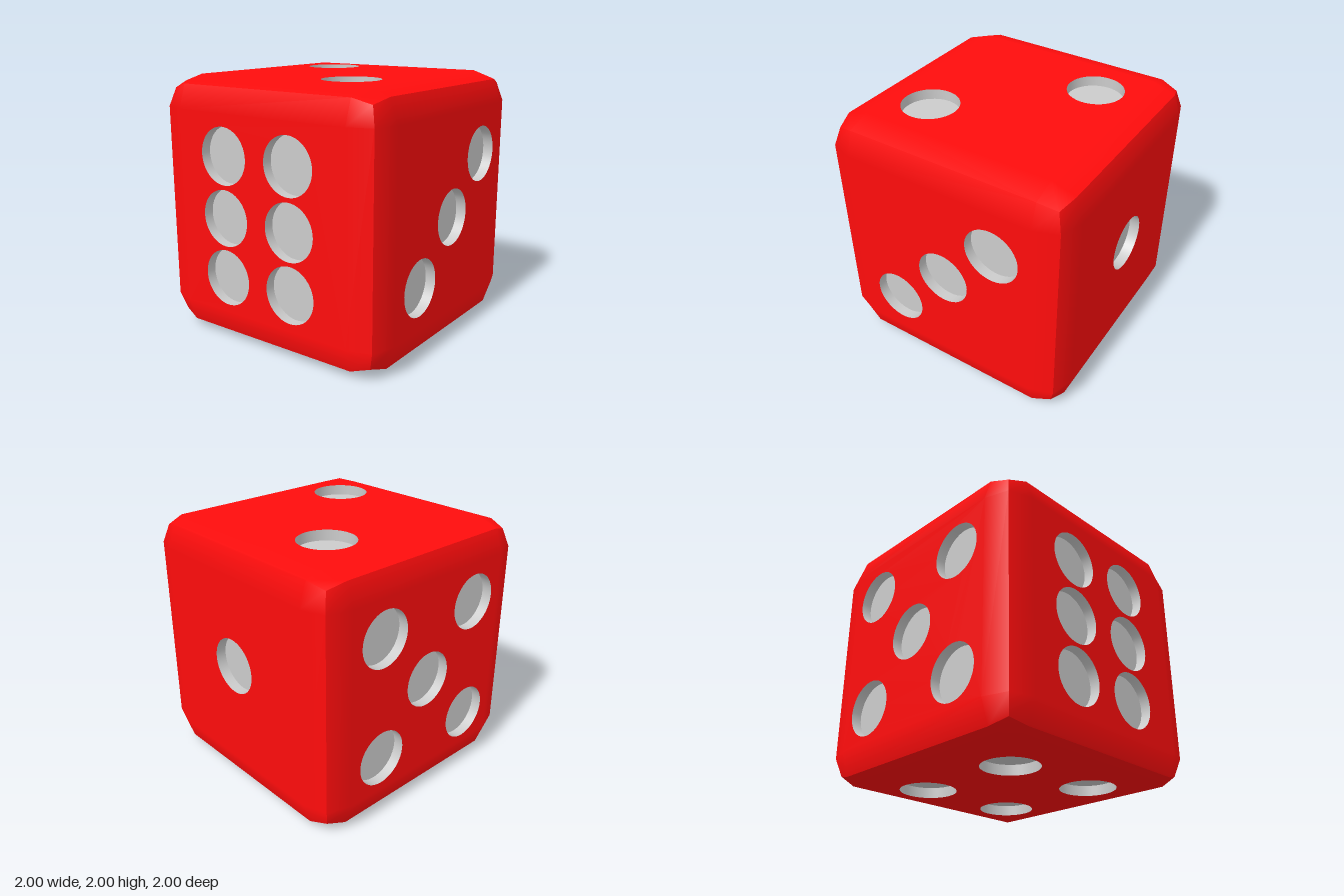
import * as THREE from 'three';
import { mergeGeometries } from 'three/addons/utils/BufferGeometryUtils.js';

const FLAT = 0.76;     // half width of the flat part of a face
const EDGE = 0.94;     // where two neighbouring faces meet
const CORNER = 0.9;    // where three faces meet
const PIP_R = 0.216;
const PIP_DEPTH = 0.08;
const SEGMENTS = 48;

// Each face: its right and up axes, and pip centres measured along them
const faces = [
  { name: 'front', u: [1, 0, 0], v: [0, 1, 0],
    pips: [-0.326, 0.277].flatMap(x => [0.447, -0.018, -0.48].map(y => [x, y])) },
  { name: 'back', u: [-1, 0, 0], v: [0, 1, 0], pips: [[0, 0.055]] },
  { name: 'right', u: [0, 0, -1], v: [0, 1, 0],
    pips: [[-0.425, -0.437], [0.02, -0.018], [0.45, 0.394]] },
  { name: 'left', u: [0, 0, 1], v: [0, 1, 0],
    pips: [[-0.46, 0.46], [0.47, 0.455], [0, -0.02], [-0.46, -0.49], [0.47, -0.5]] },
  { name: 'top', u: [1, 0, 0], v: [0, 0, -1], pips: [[-0.41, 0.45], [0.42, -0.455]] },
  { name: 'bottom', u: [1, 0, 0], v: [0, 0, 1],
    pips: [[0.4, 0.45], [0.41, -0.43], [-0.41, -0.45], [-0.4, 0.42]] },
];

// Flat square with a round hole for every pip
function flatPart(pips) {
  const s = new THREE.Shape();
  s.moveTo(-FLAT, -FLAT).lineTo(FLAT, -FLAT).lineTo(FLAT, FLAT).lineTo(-FLAT, FLAT).closePath();
  for (const [x, y] of pips) {
    s.holes.push(new THREE.Path().absarc(x, y, PIP_R, 0, Math.PI * 2, true));
  }
  return new THREE.ShapeGeometry(s, SEGMENTS / 2).translate(0, 0, 1);
}

// Sloping rim around the flat square: a 3 x 3 grid without its middle cell
function rimPart() {
  const g = new THREE.PlaneGeometry(2, 2, 3, 3);
  const pos = g.attributes.position, normal = g.attributes.normal;
  const n = new THREE.Vector3();
  for (let k = 0; k < pos.count; k++) {
    const sx = Math.sign(pos.getX(k)), sy = Math.sign(pos.getY(k));
    const outX = Math.abs(pos.getX(k)) > 0.9, outY = Math.abs(pos.getY(k)) > 0.9;
    const outer = outX && outY ? CORNER : EDGE;
    pos.setXYZ(k, sx * (outX ? outer : FLAT), sy * (outY ? outer : FLAT), outX || outY ? outer : 1);
    n.set(outX ? sx * 0.33 : 0, outY ? sy * 0.33 : 0, 1).normalize();
    normal.setXYZ(k, n.x, n.y, n.z);
  }
  const index = Array.from(g.index.array);
  index.splice(24, 6);
  g.setIndex(index);
  return g;
}

// Recessed pip: inward-facing wall and a floor
function pipGeometry(x, y) {
  const wall = new THREE.CylinderGeometry(PIP_R, PIP_R, PIP_DEPTH, SEGMENTS, 1, true)
    .rotateX(Math.PI / 2).translate(x, y, 1 - PIP_DEPTH / 2);
  const normal = wall.attributes.normal;
  for (let k = 0; k < normal.array.length; k++) normal.array[k] *= -1;
  wall.setIndex(Array.from(wall.index.array).reverse());
  const floor = new THREE.CircleGeometry(PIP_R, SEGMENTS).translate(x, y, 1 - PIP_DEPTH);
  return mergeGeometries([wall, floor]);
}

export function createModel() {
  const die = new THREE.Group();
  die.name = 'die';
  const red = new THREE.MeshStandardMaterial({ color: 0xff0c0c });
  const grey = new THREE.MeshStandardMaterial({ color: 0xcccccc });

  for (const { name, u, v, pips } of faces) {
    const right = new THREE.Vector3(...u), up = new THREE.Vector3(...v);
    const out = new THREE.Vector3().crossVectors(right, up);
    const place = new THREE.Matrix4().makeBasis(right, up, out).setPosition(0, 1, 0);

    const side = new THREE.Group();
    side.name = name + 'Side';
    const panel = mergeGeometries([flatPart(pips), rimPart()]).applyMatrix4(place);
    const face = new THREE.Mesh(panel, red);
    face.name = name + 'Face';
    side.add(face);

    pips.forEach(([x, y], i) => {
      const pip = new THREE.Mesh(pipGeometry(x, y).applyMatrix4(place), grey);
      pip.name = name + 'Pip' + (i + 1);
      side.add(pip);
    });
    die.add(side);
  }
  return die;
}
